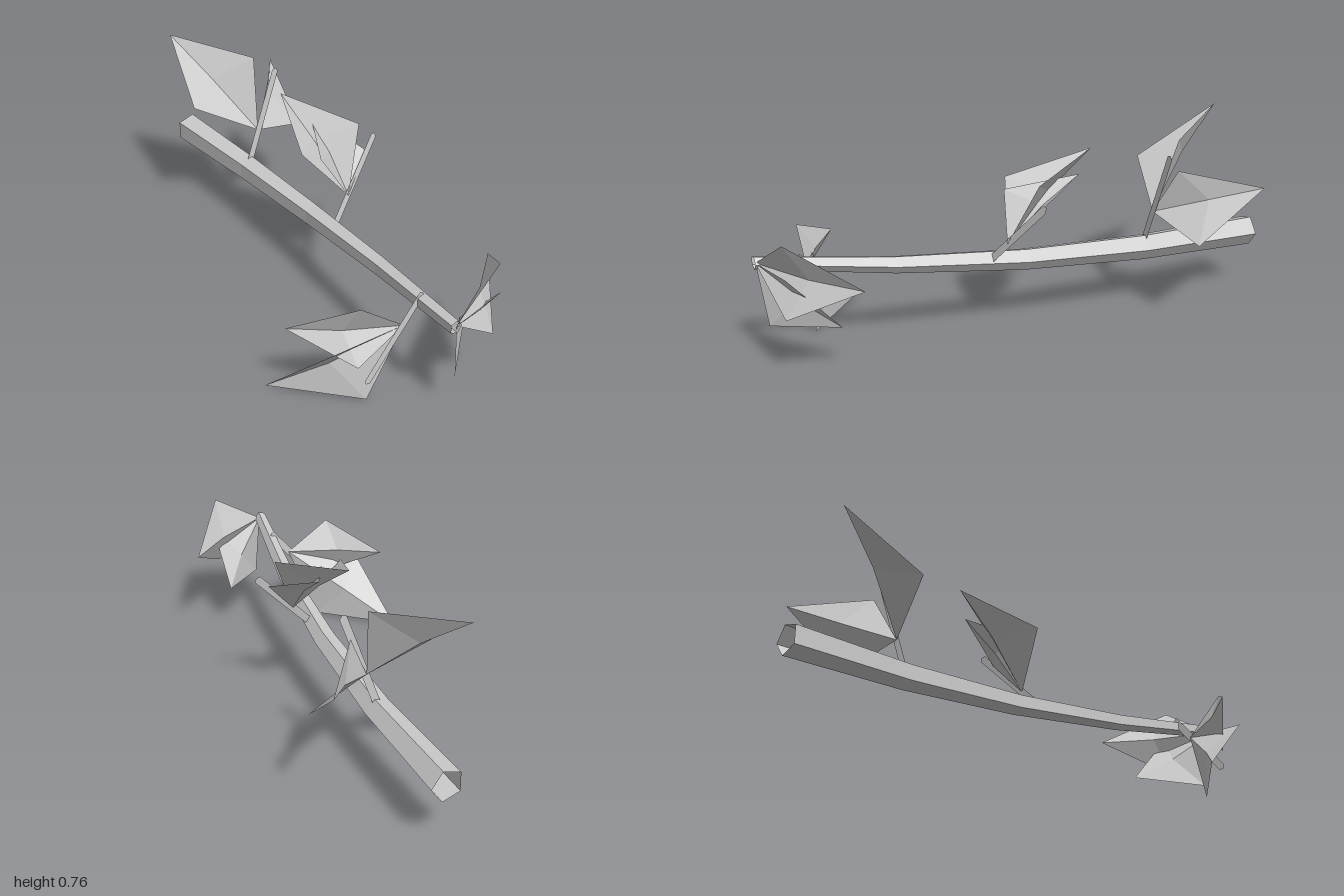
import * as THREE from 'three';

const grey = new THREE.MeshStandardMaterial({ color: 0xcccccc });
grey.name = 'pale grey';
grey.side = THREE.DoubleSide;
grey.flatShading = true;

// Mesh from points and triangles, with separate corners for flat facets
function facets(name, points, faces) {
  const indexed = new THREE.BufferGeometry();
  indexed.setAttribute('position', new THREE.Float32BufferAttribute(points.flat(), 3));
  indexed.setIndex(faces.flat());
  const geometry = indexed.toNonIndexed();
  geometry.computeVertexNormals();
  const mesh = new THREE.Mesh(geometry, grey);
  mesh.name = name;
  return mesh;
}

// Open five-sided stem through rings of [x, y, z, radius]
function stem(rings) {
  const sides = 5, points = [], faces = [];
  rings.forEach(([x, y, z, r], i) => {
    for (let k = 0; k < sides; k++) {
      const a = (k / sides) * Math.PI * 2;
      points.push([x + r * Math.cos(a), y + r * Math.sin(a), z]);
      if (i === 0) continue;
      const n = (k + 1) % sides, p = (i - 1) * sides, q = i * sides;
      faces.push([p + k, p + n, q + n], [p + k, q + n, q + k]);
    }
  });
  return facets('mainStem', points, faces);
}

// Flat ribbon twig, slightly pointed at its end
function twig(start, end, width) {
  const dx = end[0] - start[0], dy = end[1] - start[1];
  const len = Math.hypot(dx, dy);
  const wx = (-dy / len) * width / 2, wy = (dx / len) * width / 2;
  const side = (p, s) => [p[0] + s * wx, p[1] + s * wy, p[2]];
  const neck = start.map((v, i) => v + (end[i] - v) * 0.975);
  return facets('twig',
    [side(start, 1), side(start, -1), side(neck, -1), side(neck, 1), end],
    [[0, 1, 2], [0, 2, 3], [3, 2, 4]]);
}

// Kite-shaped leaf of four facets, folded about a raised middle point
function leaf(base, left, tip, right) {
  const middle = base.map((v, i) => v + (tip[i] - v) * 0.56);
  middle[2] += 0.025;
  return facets('leaf', [base, left, tip, right, middle],
    [[0, 4, 1], [1, 4, 2], [2, 4, 3], [3, 4, 0]]);
}

export function createModel() {
  const model = new THREE.Group();
  model.name = 'leafyBranch';

  model.add(stem([
    [0.156, 0.25, -1, 0.062],
    [0.138, 0.262, -0.5, 0.053],
    [0.092, 0.289, 0, 0.044],
    [0.018, 0.336, 0.5, 0.035],
    [-0.087, 0.4, 1, 0.026],
  ]));

  const sprigs = [
    { // stem tip
      base: [-0.08, 0.4, 0.995],
      leaves: [
        [[0.14, 0.54, 0.96], [0.32, 0.395, 0.73], [0.135, 0.255, 0.96]],
        [[0.16, 0.42, 0.96], [0.165, 0.2, 0.765], [-0.045, 0.16, 0.97]],
      ],
    },
    { // drooping sprig
      twig: [[-0.045, 0.405, 0.79], [-0.285, 0.125, 0.79]],
      base: [-0.125, 0.305, 0.79],
      leaves: [
        [[-0.3, 0.43, 0.77], [-0.47, 0.315, 0.575], [-0.305, 0.19, 0.77]],
        [[-0.425, 0.255, 0.73], [-0.48, 0.012, 0.47], [-0.235, 0.003, 0.737]],
      ],
    },
    { // middle sprig
      twig: [[0.08, 0.3, 0.145], [0.352, 0.592, 0.05]],
      base: [0.175, 0.4, 0.115],
      leaves: [
        [[0.28, 0.648, 0.04], [0.128, 0.705, -0.262], [0.005, 0.6, 0.04]],
        [[0.295, 0.54, 0.065], [0.202, 0.638, -0.17], [0.068, 0.575, 0.075]],
      ],
    },
    { // rear sprig
      twig: [[0.14, 0.28, -0.505], [0.288, 0.68, -0.515]],
      base: [0.19, 0.425, -0.51],
      leaves: [
        [[0.23, 0.715, -0.59], [0.02, 0.765, -0.9], [-0.065, 0.565, -0.595]],
        [[0.28, 0.61, -0.56], [0.477, 0.563, -0.818], [0.44, 0.36, -0.56]],
      ],
    },
  ];

  sprigs.forEach((s) => {
    const sprig = new THREE.Group();
    sprig.name = 'sprig';
    if (s.twig) sprig.add(twig(s.twig[0], s.twig[1], 0.03));
    s.leaves.forEach(([left, tip, right]) => sprig.add(leaf(s.base, left, tip, right)));
    model.add(sprig);
  });
  return model;
}
